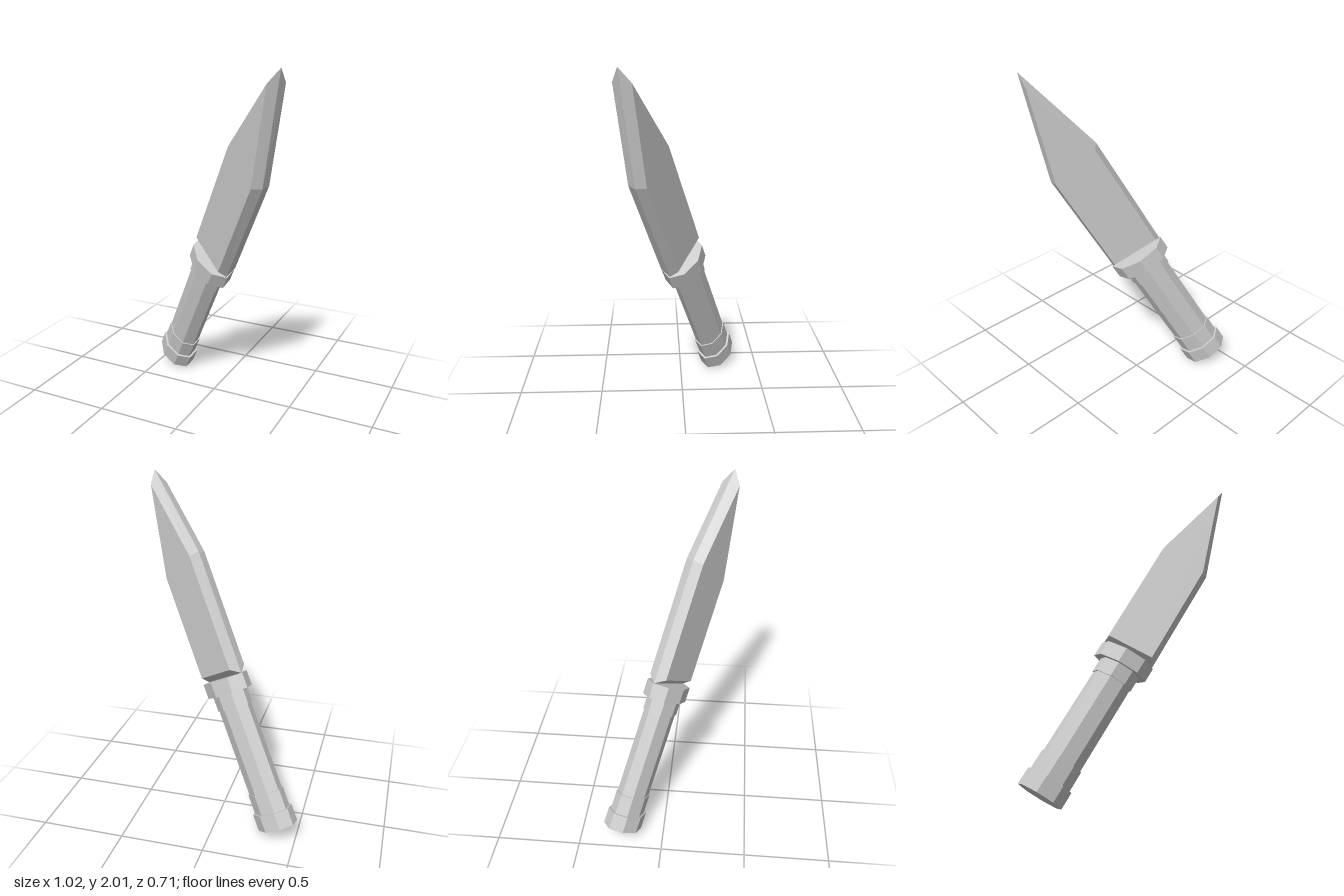
import * as THREE from 'three';

const material = new THREE.MeshStandardMaterial({ color: 0xcccccc, flatShading: true });

// Closed eight-sided section along the handle axis: wide in x (rw), narrow in z (rz)
function octagon(name, y0, y1, rw, rz) {
  const profile = [[0, y0], [1, y0], [1, y1], [0, y1]].map(([r, y]) => new THREE.Vector2(r, y));
  const geometry = new THREE.LatheGeometry(profile, 8);
  geometry.scale(rw, 1, rz);
  const mesh = new THREE.Mesh(geometry, material);
  mesh.name = name;
  return mesh;
}

// Blade: flat outline on each side, bevelled out to a sharper outline on the midplane
function blade() {
  const flat = [[0.14, 0.968], [0.135, 1.603], [-0.033, 2.13], [-0.146, 1.656], [-0.14, 0.968]];
  const ridge = [[0.16, 0.93], [0.157, 1.608], [-0.04, 2.213], [-0.168, 1.662], [-0.16, 0.93]];
  const half = 0.058;
  const positions = [];
  for (const side of [1, -1]) {
    const f = flat.map(([x, y]) => [x, y, half * side]);
    const r = ridge.map(([x, y]) => [x, y, 0]);
    const tri = (a, b, c) => positions.push(...a, ...(side > 0 ? b : c), ...(side > 0 ? c : b));
    const n = f.length;
    for (let i = 1; i < n - 1; i++) tri(f[0], f[i], f[i + 1]);
    for (let i = 0; i < n; i++) {
      const j = (i + 1) % n;
      tri(r[i], r[j], f[j]);
      tri(r[i], f[j], f[i]);
    }
  }
  const geometry = new THREE.BufferGeometry();
  geometry.setAttribute('position', new THREE.Float32BufferAttribute(positions, 3));
  geometry.computeVertexNormals();
  const mesh = new THREE.Mesh(geometry, material);
  mesh.name = 'blade';
  return mesh;
}

export function createModel() {
  const knife = new THREE.Group();
  knife.name = 'knife';
  knife.add(
    octagon('pommel', 0, 0.1, 0.138, 0.104),
    octagon('lowerBand', 0.1, 0.22, 0.125, 0.09),
    octagon('grip', 0.22, 0.75, 0.118, 0.084),
    octagon('upperBand', 0.75, 0.84, 0.125, 0.09),
    octagon('guard', 0.84, 0.93, 0.168, 0.11),
    blade()
  );

  // Lean the knife over and turn it towards the front left
  knife.rotation.set(0, THREE.MathUtils.degToRad(-32.4), THREE.MathUtils.degToRad(-30), 'YZX');
  knife.position.set(-0.392, 0.068, -0.246);

  const model = new THREE.Group();
  model.name = 'model';
  model.add(knife);
  return model;
}
